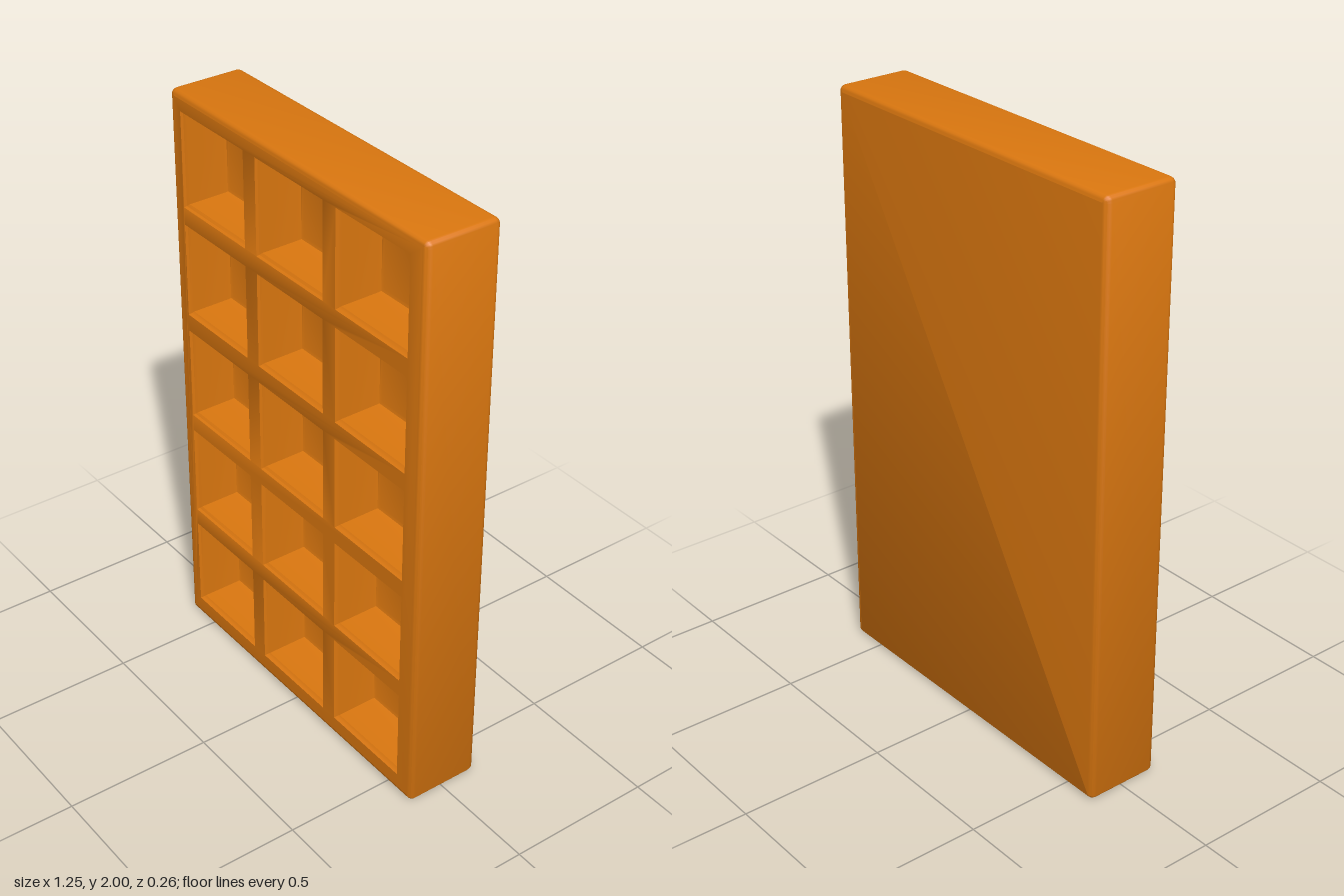
import * as THREE from 'three';
import { mergeGeometries, toCreasedNormals } from 'three/addons/utils/BufferGeometryUtils.js';

const HW = 0.625, HH = 1, HZ = 0.13;   // half sizes of the slab
const R = 0.02;                        // edge rounding
const PW = 0.167, PH = 0.163;          // half sizes of a pocket mouth

// Counter-clockwise rectangle, with rounded corners when r > 0
function ring(hw, hh, r = 0) {
  const steps = r > 0 ? 4 : 0, pts = [];
  for (let q = 0; q < 4; q++) {
    const sx = q === 0 || q === 3 ? 1 : -1, sy = q < 2 ? 1 : -1;
    for (let k = 0; k <= steps; k++) {
      const a = (q + (steps ? k / steps : 0)) * Math.PI / 2;
      pts.push(new THREE.Vector2(sx * (hw - r) + r * Math.cos(a), sy * (hh - r) + r * Math.sin(a)));
    }
  }
  return pts;
}

// Skin over rings listed front to back, with the last one closed; inward turns it into a pocket
function loft(rings, inward) {
  const pos = [], index = [], n = rings[0].pts.length;
  const tri = (a, b, c) => (inward ? index.push(a, c, b) : index.push(a, b, c));
  for (const { pts, z } of rings) for (const p of pts) pos.push(p.x, p.y, z);
  for (let i = 0; i < rings.length - 1; i++) {
    for (let j = 0; j < n; j++) {
      const a = i * n + j, b = i * n + (j + 1) % n;
      tri(a, a + n, b);
      tri(b, a + n, b + n);
    }
  }
  const last = (rings.length - 1) * n;
  for (let j = 1; j < n - 1; j++) tri(last, last + j + 1, last + j);
  const g = new THREE.BufferGeometry();
  g.setAttribute('position', new THREE.Float32BufferAttribute(pos, 3));
  g.setIndex(index);
  return g.toNonIndexed();
}

export function createModel() {
  const group = new THREE.Group();
  group.name = 'waffleSlab';
  const material = new THREE.MeshStandardMaterial({ color: 0xd9760f });

  // Slab sides with rounded edges, and the back
  const sides = [];
  for (const end of [1, -1]) {
    for (let k = 0; k <= 4; k++) {
      const a = (end > 0 ? 4 - k : k) / 4 * Math.PI / 2;
      const inset = R * (1 - Math.cos(a));
      sides.push({
        pts: ring(HW - inset, HH - inset, Math.max(R - inset, 0.002)),
        z: end * (HZ - R + R * Math.sin(a)),
      });
    }
  }
  const parts = [loft(sides, false)];

  // Front lattice with 3 x 5 openings, and the pocket behind each
  const face = new THREE.Shape(sides[0].pts);
  const profile = [[0, 0], [0.004, 0.008], [0.012, 0.014], [0.014, 0.145], [0.017, 0.154], [0.026, 0.158]];
  for (let c = -1; c <= 1; c++) {
    for (let r = -2; r <= 2; r++) {
      const x = c * 0.394 - 0.008, y = r * 0.386 + 0.005;
      const at = (inset) => ring(PW - inset, PH - inset).map((p) => new THREE.Vector2(p.x + x, p.y + y));
      face.holes.push(new THREE.Path(at(0).reverse()));
      parts.push(loft(profile.map(([inset, depth]) => ({ pts: at(inset), z: HZ - depth })), true));
    }
  }
  const front = new THREE.ShapeGeometry(face).toNonIndexed().translate(0, 0, HZ);
  front.deleteAttribute('uv');
  front.deleteAttribute('normal');
  parts.push(front);

  const slab = new THREE.Mesh(toCreasedNormals(mergeGeometries(parts), 0.75), material);
  slab.name = 'slabWithPockets';
  slab.position.y = HH;
  group.add(slab);
  return group;
}
